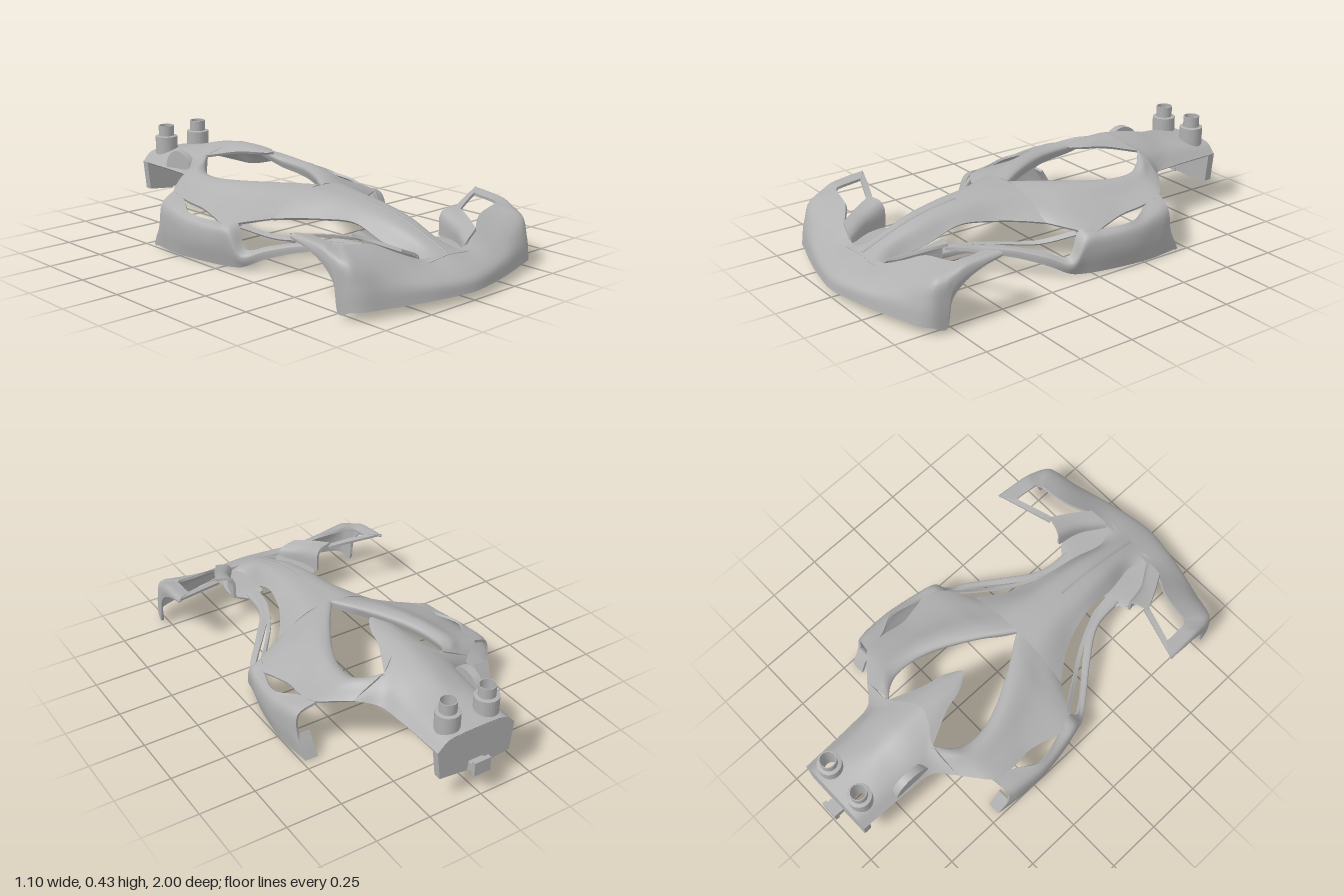
import * as THREE from 'three';

const paint = new THREE.MeshStandardMaterial({ color: 0xb0b0b0, side: THREE.DoubleSide });
paint.name = 'body grey';

const flip = (p) => [-p[0], p[1], p[2]];
// row of [x, y] pairs at one z, unless a point brings its own z
const at = (z, ...pts) => pts.map((p) => [p[0], p[1], p[2] ?? z]);

// Smooth grid of points through control rows
function smoothGrid(rows, nu, nv) {
  const spline = (pts, n) => {
    const c = new THREE.CatmullRomCurve3(pts);
    return Array.from({ length: n + 1 }, (_, i) => c.getPoint(i / n));
  };
  const wide = rows.map((r) => spline(r.map((p) => new THREE.Vector3(...p)), nu));
  const cols = wide[0].map((_, i) => spline(wide.map((r) => r[i]), nv));
  return Array.from({ length: nv + 1 }, (_, j) => cols.map((c) => c[j]));
}

// Thin shell: outer skin, inner skin pushed in along the normals, and a rim
function shell(rows, { nu = 12, nv = 30, side = 0, t = 0.012, skip = () => false } = {}) {
  let grid = smoothGrid(rows, nu, nv);
  const W = nu + 1;
  const skin = (g) => {
    const idx = [];
    for (let j = 0; j < nv; j++) for (let i = 0; i < nu; i++) {
      const mid = g[j][i].clone().add(g[j + 1][i + 1]).multiplyScalar(0.5);
      if (skip(mid)) continue;
      const a = j * W + i;
      idx.push(a, a + 1, a + W, a + 1, a + W + 1, a + W);
    }
    const geo = new THREE.BufferGeometry().setFromPoints(g.flat());
    geo.setIndex(idx);
    geo.computeVertexNormals();
    return geo;
  };
  let outer = skin(grid);
  const out = new THREE.Vector3(side * 0.7, 1, 0.5), n = new THREE.Vector3();
  let facing = 0;
  for (let i = 0; i < outer.attributes.normal.count; i++)
    facing += n.fromBufferAttribute(outer.attributes.normal, i).dot(out);
  if (facing < 0) {
    grid = grid.map((r) => r.slice().reverse());
    outer = skin(grid);
  }
  const inside = grid.map((r, j) => r.map((p, i) =>
    p.clone().addScaledVector(n.fromBufferAttribute(outer.attributes.normal, j * W + i), -t)));
  const inner = skin(inside);
  inner.setIndex(Array.from(inner.index.array).reverse());
  inner.computeVertexNormals();
  const loop = (g) => [...g[0], ...g.slice(1).map((r) => r[nu]),
    ...g[nv].slice(0, nu).reverse(), ...g.slice(0, nv).map((r) => r[0]).reverse()];
  const a = loop(grid), b = loop(inside), quads = [];
  for (let i = 0; i + 1 < a.length; i++) quads.push(a[i], b[i], a[i + 1], a[i + 1], b[i], b[i + 1]);
  const rim = new THREE.BufferGeometry().setFromPoints(quads);
  rim.computeVertexNormals();
  const part = new THREE.Group();
  for (const geo of [outer, inner, rim]) part.add(new THREE.Mesh(geo, paint));
  return part;
}

export function createModel() {
  const car = new THREE.Group();
  const add = (name, obj) => { obj.name = name; car.add(obj); return obj; };
  // half rows given from the centre outwards, mirrored into one skin
  const centred = (name, rows, opt) =>
    add(name, shell(rows.map((r) => [...r.slice(1).reverse().map(flip), ...r]), opt));
  const pair = (name, rows, opt) => {
    add(name + 'Left', shell(rows, { ...opt, side: 1 }));
    add(name + 'Right', shell(rows.map((r) => r.map(flip)), { ...opt, side: -1 }));
  };
  const solid = (name, geo, x = 0, y = 0, z = 0) => add(name, new THREE.Mesh(geo, paint)).position.set(x, y, z);

  // Front bumper wrapping round into the fender sides
  centred('frontBumper', [
    [[0, .03, 1], [.14, .03, .98], [.27, .03, .95], [.4, .03, .91], [.49, .03, .88], [.525, .027, .845], [.538, .01, .79], [.54, .13, .76], [.545, .195, .70], [.55, .235, .62], [.55, .255, .535]],
    [[0, .075, .99], [.14, .08, .97], [.27, .09, .935], [.4, .105, .895], [.49, .12, .865], [.525, .12, .835], [.54, .12, .785], [.543, .19, .755], [.547, .225, .70], [.55, .25, .62], [.552, .265, .53]],
    [[0, .108, .95], [.14, .112, .93], [.27, .13, .89], [.38, .16, .86], [.47, .19, .84], [.51, .207, .82], [.53, .215, .785], [.533, .235, .745], [.537, .255, .70], [.54, .267, .62], [.54, .275, .535]],
    [[0, .16, .83], [.12, .15, .83], [.23, .19, .8], [.32, .232, .745], [.40, .243, .725], [.45, .25, .717], [.468, .252, .708], [.475, .254, .70], [.476, .258, .675], [.48, .262, .62], [.48, .267, .575]],
  ], { nu: 120, nv: 15 });

  // Fender rear edge, and the brace folding down beside the nose
  pair('fenderRearEdge', [
    [[.55, .275, .53], [.48, .267, .58]],
    [[.42, .257, .575], [.40, .255, .61]],
    [[.30, .237, .62], [.31, .235, .645]],
  ], { nu: 3, nv: 12 });
  pair('fenderBrace', [
    [[.315, .238, .63], [.245, .228, .61], [.235, .13, .61]],
    [[.275, .22, .72], [.215, .19, .72], [.21, .125, .72]],
    [[.225, .195, .81], [.15, .16, .83], [.14, .138, .83]],
  ], { nu: 8, nv: 12 });

  // Low shelf beside the nose
  pair('noseShelf', [
    at(.57, [.17, .125], [.10, .15]),
    at(.64, [.23, .13], [.09, .145]),
    at(.75, [.22, .13], [.07, .14]),
    at(.83, [.18, .135], [.04, .14]),
  ], { nu: 4, nv: 16 });

  // Central nose spine and its ridge
  centred('noseSpine', [
    at(.86, [0, .15], [.06, .145], [.15, .138]),
    at(.75, [0, .195], [.05, .185], [.095, .13]),
    at(.6, [0, .247], [.06, .237], [.115, .17]),
    at(.45, [0, .275], [.07, .265], [.125, .22]),
    at(.3, [0, .29], [.08, .28], [.165, .212]),
    at(.2, [0, .295], [.1, .285], [.22, .205]),
    at(.12, [0, .297], [.12, .285], [.28, .198]),
  ], { nu: 20, nv: 36 });
  const ridge = new THREE.CatmullRomCurve3(at(0, [0, .28, .39], [0, .263, .5], [0, .244, .6], [0, .192, .75], [0, .152, .85])
    .map((p) => new THREE.Vector3(...p)));
  solid('noseRidge', new THREE.TubeGeometry(ridge, 20, .008, 6));

  // Cockpit frame and side deck, with an inner lip round the opening
  pair('cockpitFrame', [
    at(.12, [0, .27], [0, .297], [.08, .292], [.19, .25], [.28, .198]),
    at(.06, [.04, .26], [.04, .297], [.11, .298], [.23, .25], [.38, .19]),
    at(0, [.09, .25], [.08, .295], [.15, .3], [.28, .245], [.45, .18]),
    at(-.1, [.15, .245], [.14, .29], [.2, .3], [.31, .245], [.43, .192]),
    at(-.2, [.2, .24], [.19, .285], [.24, .297], [.33, .247], [.41, .205]),
    at(-.3, [.23, .24], [.22, .28], [.26, .295], [.34, .256], [.42, .222]),
    at(-.4, [.23, .25], [.22, .287], [.26, .302], [.33, .272], [.41, .243]),
    at(-.46, [.2, .28], [.19, .31], [.23, .318], [.28, .288], [.35, .256]),
    at(-.51, [.145, .325], [.14, .345], [.19, .322], [.24, .295], [.29, .265]),
  ], { nu: 20, nv: 40 });

  // Side pod wall, turned in to the deck at both ends and drawn forward into the lower strut
  pair('sidePod', [
    at(.6, [.17, .113], [.172, .125], [.17, .14], [.115, .15]),
    at(.45, [.19, .112], [.19, .125], [.185, .135], [.14, .14]),
    at(.3, [.29, .09], [.29, .11], [.285, .122], [.245, .128]),
    at(.18, [.385, .05], [.388, .075], [.385, .09], [.35, .105]),
    at(.1, [.43, .01], [.445, .04], [.445, .06], [.415, .085]),
    at(.04, [.445, 0], [.468, .09], [.465, .16], [.41, .19]),
    at(-.05, [.47, 0], [.493, .1], [.484, .165], [.445, .183]),
    at(-.2, [.495, 0], [.513, .09], [.507, .165], [.48, .197]),
    at(-.3, [.5, 0], [.51, .1], [.498, .19], [.43, .222]),
    at(-.36, [.495, 0], [.505, .11], [.49, .2], [.41, .237]),
    [[.485, 0, -.455], [.493, .1, -.405], [.483, .2, -.395], [.40, .246, -.41]],
  ], { nu: 15, nv: 50 });
  pair('podFoot', [
    [[.485, 0, -.455], [.49, .05, -.43], [.49, .1, -.40]],
    [[.425, 0, -.455], [.43, .05, -.43], [.43, .1, -.40]],
  ], { nu: 4, nv: 2 });

  // Slim second strut just inside the lower one
  pair('innerStrut', [
    at(.56, [.14, .14], [.12, .145]),
    at(.42, [.175, .138], [.155, .143]),
    at(.3, [.235, .13], [.215, .135]),
    at(.18, [.32, .13], [.30, .14]),
    at(.05, [.41, .17], [.385, .18]),
  ], { nu: 2, nv: 24, t: .008 });

  // Roof tongue over the cockpit opening
  centred('roofTongue', [
    [[0, .392, -.2], [.01, .391, -.205], [.02, .387, -.215]],
    at(-.28, [0, .398], [.03, .395], [.052, .386]),
    at(-.36, [0, .402], [.038, .396], [.072, .378]),
    [[0, .402, -.44], [.06, .387, -.46], [.14, .345, -.51]],
  ], { nu: 16, nv: 16 });

  // Tail cover, open under the two pipes
  const pipeX = .095, pipeZ = -.88;
  centred('tailCover', [
    [[0, .402, -.44], [.06, .387, -.46], [.14, .345, -.51], [.29, .265, -.51]],
    at(-.58, [0, .382], [.08, .362], [.15, .32], [.21, .25]),
    at(-.7, [0, .352], [.07, .337], [.14, .305], [.195, .25]),
    at(-.83, [0, .322], [.08, .317], [.14, .297], [.19, .25]),
    at(-.95, [0, .302], [.07, .301], [.14, .292], [.187, .25]),
  ], { nu: 48, nv: 48, skip: (p) => Math.hypot(Math.abs(p.x) - pipeX, p.z - pipeZ) < .042 });

  // Stepped hollow pipes
  const profile = [[.034, .27], [.053, .27], [.053, .375], [.037, .378], [.037, .427], [.033, .427], [.033, .27]];
  for (const s of [1, -1]) {
    const geo = new THREE.LatheGeometry(profile.map((p) => new THREE.Vector2(...p)), 28).toNonIndexed();
    geo.computeVertexNormals();
    solid(s > 0 ? 'pipeLeft' : 'pipeRight', geo, s * pipeX, 0, pipeZ);
  }

  // Rear plate with a notch, and the hitch in it
  const half = [[.07, .298], [.14, .29], [.187, .25], [.172, .115], [.04, .1], [.03, .14]];
  const outline = [...half, ...half.slice().reverse().map((p) => [-p[0], p[1]])];
  const plate = new THREE.Shape(outline.map((p) => new THREE.Vector2(...p)));
  solid('rearPlate', new THREE.ExtrudeGeometry(plate, { depth: .035, bevelEnabled: false }), 0, 0, -.95);
  solid('hitchBar', new THREE.BoxGeometry(.07, .04, .075), 0, .125, -.955);
  solid('hitchTip', new THREE.BoxGeometry(.08, .065, .02), 0, .135, -.99);

  // Half-round bracket on the right of the tail
  const arc = new THREE.Shape().absarc(0, 0, .092, 0, Math.PI);
  const bracket = new THREE.ExtrudeGeometry(arc, { depth: .035, bevelEnabled: false }).rotateY(Math.PI / 2);
  solid('tailBracket', bracket, -.186, .253, -.67);
  return car;
}
